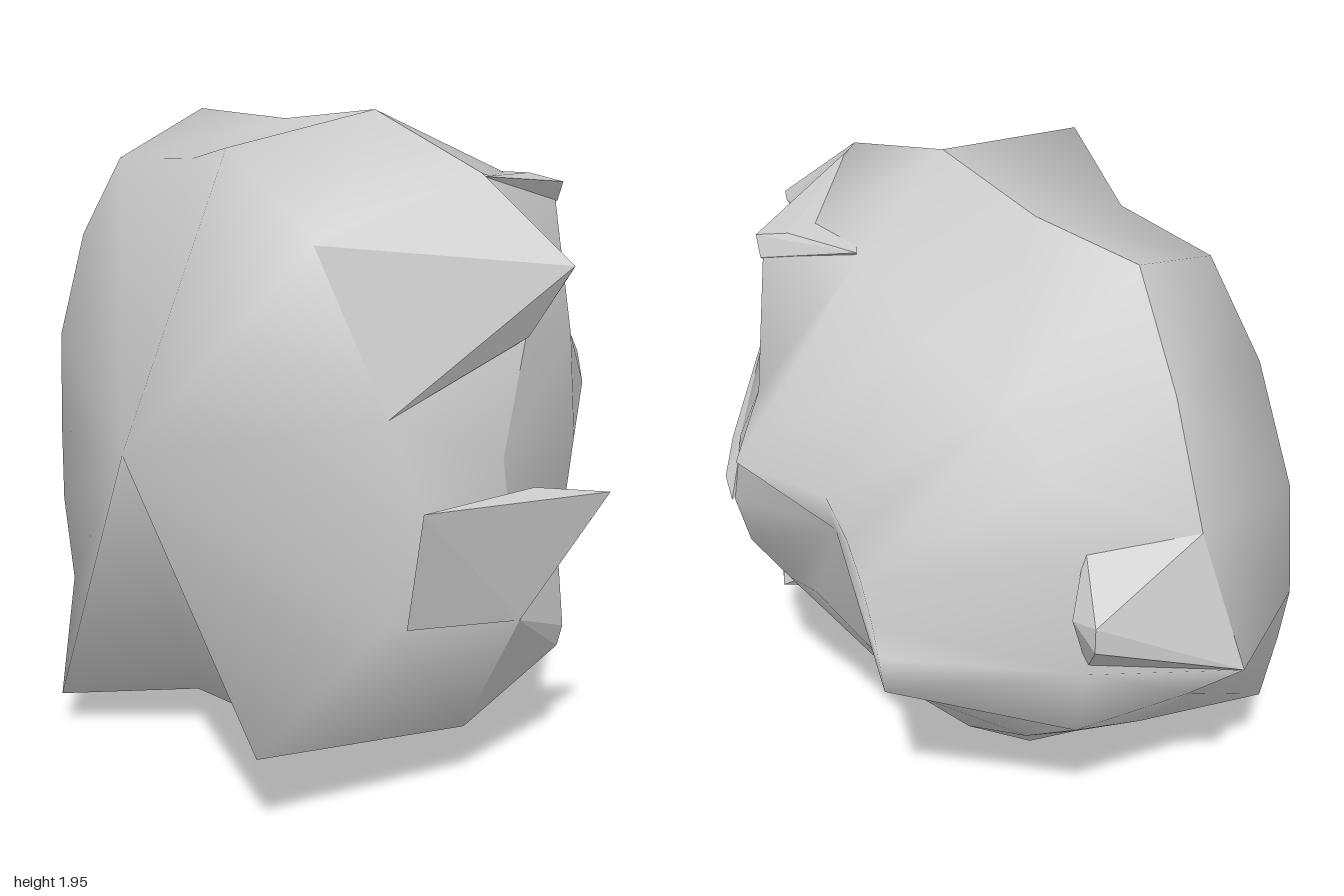
import * as THREE from 'three';
import { ConvexGeometry } from 'three/addons/geometries/ConvexGeometry.js';

// Cross-sections of the boulder, each counter-clockwise seen from the front
const frontRing = [
  [0.91, 1.0, 0.4], [0.79, 1.23, 0.42], [0.62, 1.68, 0.53], [0.27, 1.89, 0.54],
  [-0.1, 1.8, 0.38], [-0.45, 1.76, 0.39], [-0.65, 1.5, 0.4], [-0.8, 1.15, 0.4],
  [-0.85, 0.82, 0.38], [-0.79, 0.6, 0.42], [-0.73, 0.34, 0.43], [-0.4, 0.12, 0.7],
  [-0.12, 0.14, 0.38], [0.28, 0.18, 0.4], [0.58, 0.27, 0.7], [0.79, 0.65, 0.41],
];
const middleRing = [
  [0.82, 1.05, 0.02], [0.89, 1.41, 0.02], [0.74, 1.83, 0.05], [0.29, 1.95, 0.03],
  [-0.12, 1.88, 0.02], [-0.52, 1.87, 0.03], [-0.67, 1.53, 0.04], [-0.85, 1.2, -0.02],
  [-1, 0.8, 0.02], [-0.8, 0.6, 0.02], [-0.6, 0.37, 0.03], [-0.33, 0.17, 0.02],
  [-0.12, 0, 0.02], [0.29, 0.05, 0.02], [0.69, 0.2, 0.02], [0.9, 0.6, 0.02],
];
const backRing = [
  [0.74, 1.02, -0.35], [0.74, 1.33, -0.32], [0.54, 1.68, -0.45], [0.25, 1.72, -0.33],
  [-0.1, 1.62, -0.38], [-0.4, 1.52, -0.36], [-0.6, 1.38, -0.35], [-0.7, 1.15, -0.33],
  [-0.72, 0.8, -0.33], [-0.66, 0.55, -0.3], [-0.45, 0.4, -0.3], [-0.2, 0.29, -0.31],
  [0, 0.27, -0.31], [0.2, 0.28, -0.31], [0.6, 0.38, -0.32], [0.73, 0.68, -0.31],
];
// Rim around the hollow in the back
const hollowRim = [
  [0.41, 1.0, -0.7], [0.43, 1.19, -0.65], [0.36, 1.36, -0.62], [0.23, 1.25, -0.8],
  [0, 1.18, -0.66], [-0.09, 1.08, -0.66], [-0.16, 0.98, -0.67], [-0.23, 0.88, -0.69],
  [-0.28, 0.8, -0.71], [-0.33, 0.72, -0.73], [-0.28, 0.58, -0.56], [-0.17, 0.58, -0.53],
  [-0.05, 0.66, -0.58], [0.12, 0.78, -0.63], [0.28, 0.74, -0.61], [0.4, 0.84, -0.66],
];
const frontPeak = [0.12, 1.05, 0.8];
const hollowFloor = [0.1, 0.98, -0.56];

// Skins the rings from front to back, splitting each quad along its shorter
// diagonal, and closes the front or the back end with a fan to the tip
function shell(rings, tip, tipInFront) {
  const n = rings[0].length;
  const points = [...rings.flat(), tip];
  const distance = (a, b) => Math.hypot(...points[a].map((v, k) => v - points[b][k]));
  const index = [];
  for (let i = 0; i < n; i++) {
    const j = (i + 1) % n;
    for (let r = 0; r < rings.length - 1; r++) {
      const a = r * n + i, b = r * n + j, c = a + n, d = b + n;
      if (distance(a, d) < distance(b, c)) index.push(a, c, d, a, d, b);
      else index.push(a, c, b, b, c, d);
    }
    const last = (rings.length - 1) * n;
    if (tipInFront) index.push(points.length - 1, i, j);
    else index.push(points.length - 1, last + j, last + i);
  }
  const geometry = new THREE.BufferGeometry();
  geometry.setAttribute('position', new THREE.Float32BufferAttribute(points.flat(), 3));
  geometry.setIndex(index);
  geometry.computeVertexNormals();
  return geometry;
}

// Angular outcrops; the last corner of each is buried in the boulder
const outcrops = {
  upperLeftOutcrop: [[0.62, 1.68, 0.53], [0.74, 1.83, 0.05], [1, 1.61, -0.04], [0.98, 1.59, -0.05],
    [0.79, 1.23, 0.42], [0.9, 1.41, 0.02], [0.6, 1.5, 0]],
  middleLeftOutcrop: [[0.93, 1.01, 0.42], [0.94, 1.0, 0.02], [1, 0.95, -0.22], [0.97, 0.92, -0.22],
    [0.9, 0.6, 0.02], [0.84, 0.65, 0.39], [0.7, 0.85, 0]],
  lowerLeftOutcrop: [[0.9, 0.6, 0.02], [0.69, 0.2, 0.02], [0.76, 0.45, -0.31], [0.74, 0.38, -0.31],
    [0.69, 0.38, -0.36], [0.73, 0.68, -0.31], [0.5, 0.5, 0]],
  backLeftOutcrop: [[0.74, 1.33, -0.32], [0.74, 1.02, -0.35], [0.47, 1.17, -0.65], [0.45, 1.06, -0.7],
    [0.43, 1.2, -0.64], [0.41, 1, -0.71], [0.4, 1.15, -0.4]],
  upperBackOutcrop: [[0.74, 1.82, 0.04], [0.48, 1.75, -0.4], [0.57, 1.73, -0.45], [0.54, 1.67, -0.46],
    [0.26, 1.74, -0.32], [0.4, 1.5, -0.2]],
  rightOutcrop: [[-1, 0.8, 0.02], [-0.85, 1.2, -0.02], [-0.83, 1.05, -0.4], [-0.83, 0.97, -0.4],
    [-0.74, 1.03, -0.4], [-0.68, 1.2, -0.3], [-0.7, 0.8, -0.3], [-0.6, 1, 0]],
};

export function createModel() {
  const group = new THREE.Group();
  group.name = 'boulder';
  const material = new THREE.MeshStandardMaterial({ color: 0xcccccc });
  const add = (name, geometry) => {
    const mesh = new THREE.Mesh(geometry, material);
    mesh.name = name;
    group.add(mesh);
  };

  // The halves are shaded apart, which keeps the ridge between them sharp
  add('frontHalf', shell([frontRing, middleRing], frontPeak, true));
  add('backHalf', shell([middleRing, backRing, hollowRim], hollowFloor, false));

  for (const [name, corners] of Object.entries(outcrops)) {
    add(name, new ConvexGeometry(corners.map((p) => new THREE.Vector3(...p))));
  }
  return group;
}
